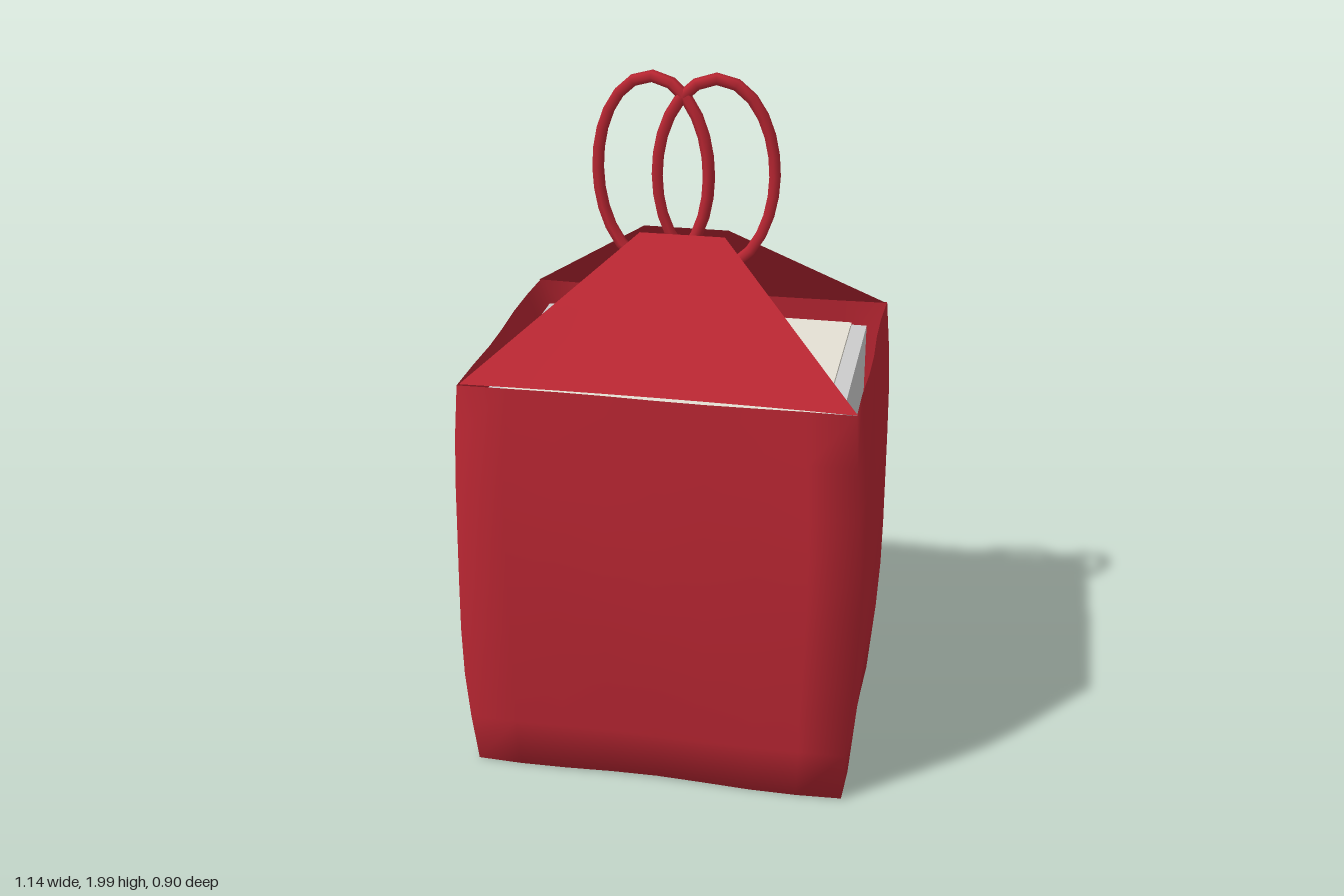
import * as THREE from 'three';
import { mergeVertices } from 'three/addons/utils/BufferGeometryUtils.js';

const H = 1.22; // rim height

export function createModel() {
  const group = new THREE.Group();
  const red = new THREE.MeshStandardMaterial({ color: 0xb92632, side: THREE.DoubleSide });
  const grey = new THREE.MeshStandardMaterial({ color: 0xcccccc });
  const cream = new THREE.MeshStandardMaterial({ color: 0xe4e0d4 });

  const add = (name, geometry, material, parent = group) => {
    const mesh = new THREE.Mesh(geometry, material);
    mesh.name = name;
    parent.add(mesh);
    return mesh;
  };

  // Bag: open-topped box, bulged and slightly crumpled, with soft shared normals
  let bag = new THREE.BoxGeometry(1.08, H - 0.01, 0.84, 8, 8, 6);
  const top = bag.groups[2];
  const index = Array.from(bag.index.array);
  index.splice(top.start, top.count);
  bag.setIndex(index);
  bag.clearGroups();
  bag.deleteAttribute('normal');
  bag.deleteAttribute('uv');
  bag.translate(0, (H + 0.01) / 2, 0);
  bag = mergeVertices(bag);
  const p = bag.attributes.position;
  for (let i = 0; i < p.count; i++) {
    const x = p.getX(i), y = p.getY(i), z = p.getZ(i);
    const bulge = Math.sin(Math.PI * y / H);
    const crumple = 0.004 * Math.sin(9 * x + 7 * y + 11 * z);
    p.setXYZ(i,
      x * (1 + 0.05 * bulge) + Math.sign(x) * crumple,
      y + (y > 0.02 ? 0 : 0.003 * Math.sin(8 * x + 5 * z)),
      z * (1 + 0.06 * bulge) + Math.sign(z) * crumple);
  }
  bag.computeVertexNormals();
  add('bag', bag, red);

  // Folded closing flaps, leaning in from the front and back rims
  for (const side of [1, -1]) {
    const flap = new THREE.PlaneGeometry(1, 1, 8, 3);
    const q = flap.attributes.position;
    for (let i = 0; i < q.count; i++) {
      const u = q.getX(i) * 2, t = q.getY(i) + 0.5;
      const dip = 0.012 * (1 - u * u) * (1 - t);
      q.setXYZ(i,
        u * THREE.MathUtils.lerp(0.54, 0.12, t) * side,
        THREE.MathUtils.lerp(H, 1.55, t),
        side * (THREE.MathUtils.lerp(0.415, 0.03, t) - dip));
    }
    flap.computeVertexNormals();
    add(side > 0 ? 'frontFlap' : 'backFlap', flap, red);
  }

  // Packed box inside with its pale lid
  const contents = new THREE.Group();
  contents.name = 'contents';
  group.add(contents);
  add('innerBox', new THREE.BoxGeometry(0.98, 1.12, 0.69), grey, contents).position.y = 0.61;
  add('lid', new THREE.BoxGeometry(0.89, 0.01, 0.69), cream, contents).position.y = 1.172;
  add('lidPanel', new THREE.BoxGeometry(0.89, 0.006, 0.61), cream, contents).position.y = 1.179;

  // Two crossing oval handles, each turned a little
  for (const side of [1, -1]) {
    const points = [];
    for (let i = 0; i < 24; i++) {
      const a = i / 24 * Math.PI * 2;
      const x = 0.16 * Math.cos(a);
      points.push(new THREE.Vector3(side * (0.088 + x), 1.715 + 0.268 * Math.sin(a), -0.003 - 0.13 * x));
    }
    const path = new THREE.CatmullRomCurve3(points, true);
    add(side > 0 ? 'leftHandle' : 'rightHandle', new THREE.TubeGeometry(path, 24, 0.017, 6, true), red);
  }

  return group;
}
